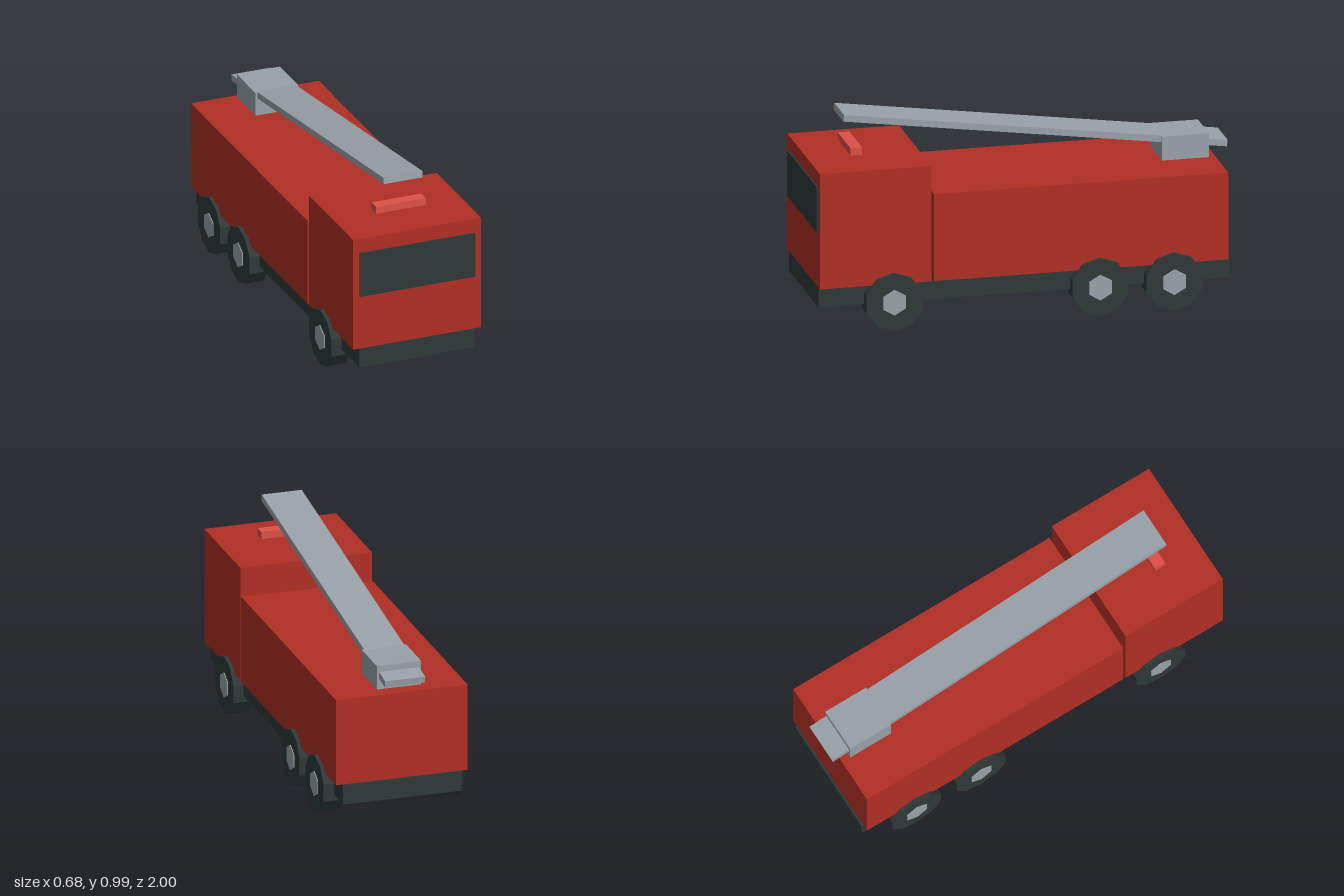
import * as THREE from 'three';

const mat = (name, color) => {
  const m = new THREE.MeshStandardMaterial({ color, flatShading: true });
  m.name = name;
  return m;
};

export function createModel() {
  const red = mat('body red', 0xb02e24);
  const lightRed = mat('beacon red', 0xdc5148);
  const dark = mat('dark rubber', 0x2f3838);
  const grey = mat('ladder grey', 0x98a1a8);

  const truck = new THREE.Group();
  truck.name = 'fireTruck';

  const add = (name, geometry, material, x, y, z, parent = truck) => {
    const mesh = new THREE.Mesh(geometry, material);
    mesh.name = name;
    mesh.position.set(x, y, z);
    parent.add(mesh);
    return mesh;
  };

  // Box given by its half width and its y and z ranges
  const block = (name, material, halfX, y0, y1, z0, z1) =>
    add(name, new THREE.BoxGeometry(halfX * 2, y1 - y0, z1 - z0), material,
      0, (y0 + y1) / 2, (z0 + z1) / 2);

  // Chassis, cab and rear body
  block('chassis', dark, 0.288, 0.128, 0.224, -0.96, 0.99);
  block('cab', red, 0.32, 0.224, 0.782, 0.46, 0.99);
  block('rearBody', red, 0.32, 0.224, 0.645, -0.95, 0.447);
  block('windshield', dark, 0.288, 0.49, 0.711, 0.99, 0.998);
  block('lightBar', lightRed, 0.125, 0.798, 0.833, 0.742, 0.797);

  // Turret and tilted ladder
  block('turret', grey, 0.108, 0.657, 0.773, -0.909, -0.686);
  const ladder = add('ladder', new THREE.BoxGeometry(0.195, 0.031, 1.84), grey, 0, 0.843, -0.088);
  ladder.rotation.x = -0.14;

  // Ten-sided tyres with six-sided hubs, axle along x
  const disc = (radius, width, sides) =>
    new THREE.CylinderGeometry(radius, radius, width, sides)
      .rotateZ(Math.PI / 2).rotateX(Math.PI / 2);
  const tyre = disc(0.139, 0.09, 10);
  const hub = disc(0.062, 0.098, 6);
  for (const z of [0.64, -0.338, -0.69]) {
    for (const side of [1, -1]) {
      const wheel = new THREE.Group();
      wheel.name = side > 0 ? 'leftWheel' : 'rightWheel';
      wheel.position.set(side * 0.293, 0.14, z);
      truck.add(wheel);
      add('tyre', tyre, dark, 0, 0, 0, wheel);
      add('hub', hub, grey, 0, 0, 0, wheel);
    }
  }
  return truck;
}
